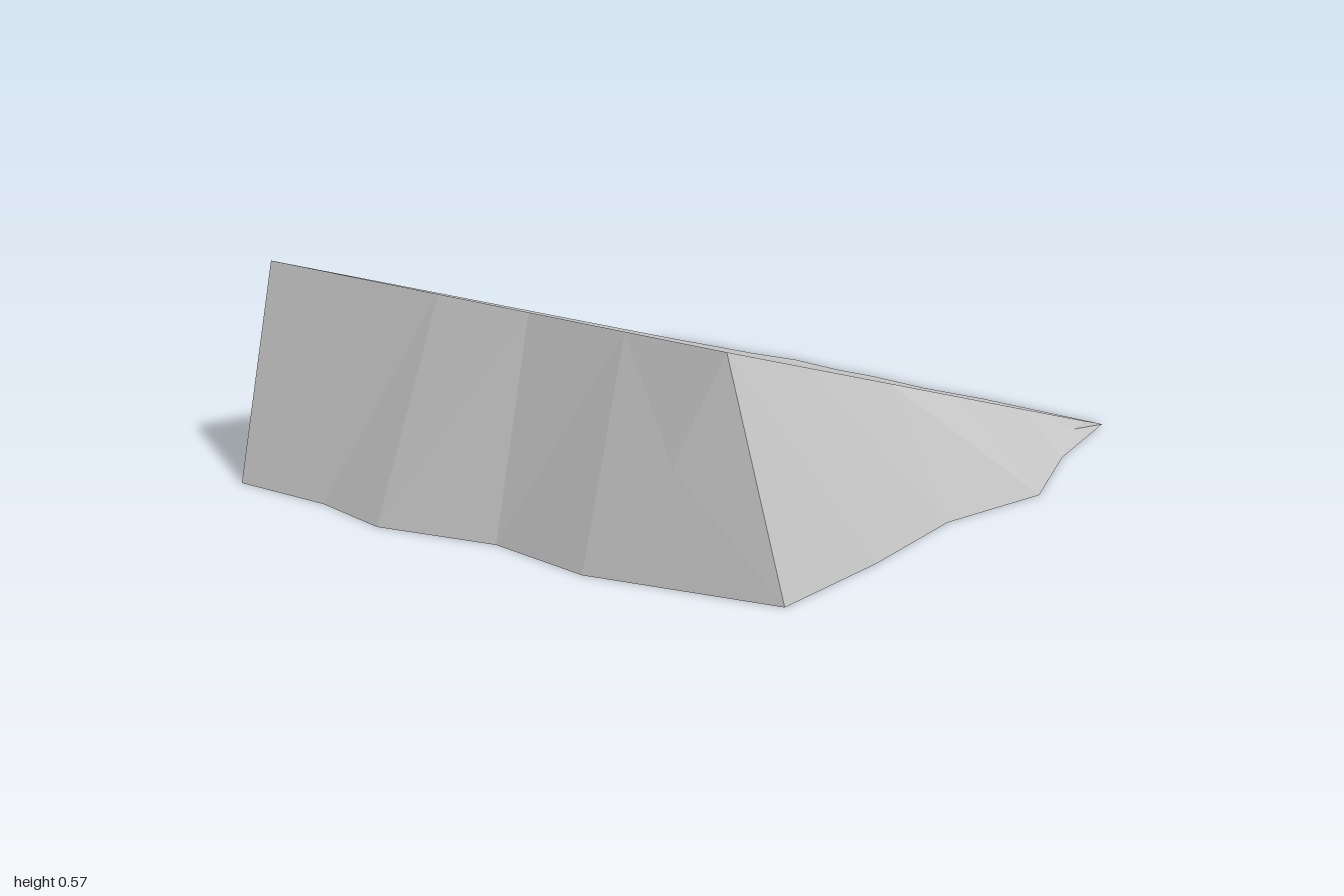
import * as THREE from 'three';

const stone = new THREE.MeshStandardMaterial({ color: 0xc6c6c6, flatShading: true, side: THREE.DoubleSide });
stone.name = 'pale grey stone';

const HALF = 0.765, FRONT = 0.78, BACK = -0.945, RISE = 0.575, LIP = 0.004;
const slopeY = (z) => LIP + (RISE - LIP) * (z - BACK) / (FRONT - BACK);
const topPoint = (x, z) => [x, slopeY(z), z];

function facetMesh(name, triangles) {
  const geometry = new THREE.BufferGeometry();
  geometry.setAttribute('position', new THREE.Float32BufferAttribute(triangles.flat(2), 3));
  geometry.computeVertexNormals();
  const mesh = new THREE.Mesh(geometry, stone);
  mesh.name = name;
  return mesh;
}

// Craggy wall from the ramp's rim to a ragged foot, listed left to right as seen from outside.
// Each panel folds around a middle point, by default halfway along its diagonal.
function craggyWall(name, rim, foot, middles = {}, mirrored = false) {
  const triangles = [];
  for (let i = 0; i < rim.length - 1; i++) {
    const [ta, tb] = [rim[i], rim[i + 1]];
    const [ba, bb] = [foot[i], foot[i + 1]].map(([x, z]) => [x, 0, z]);
    const [p, q] = mirrored ? [bb, ta] : [ba, tb];
    const mid = middles[i] || p.map((v, k) => (v + q[k]) / 2);
    triangles.push([ba, bb, mid], [bb, tb, mid], [tb, ta, mid], [ta, ba, mid]);
  }
  return facetMesh(name, triangles);
}

export function createModel() {
  const group = new THREE.Group();
  group.name = 'rockRamp';

  const steps = (n, fn) => Array.from({ length: n + 1 }, (_, i) => fn(i / n));
  const across = (n, z) => steps(n, (t) => topPoint(-HALF + 2 * HALF * t, z));
  const along = (x) => steps(5, (t) => topPoint(x, BACK + (FRONT - BACK) * t));

  // Flat sloping surface
  const [fl, fr] = across(1, FRONT), [bl, br] = across(1, BACK);
  group.add(facetMesh('rampSurface', [[fl, fr, br], [fl, br, bl]]));

  // Tall front wall
  group.add(craggyWall('frontWall', across(5, FRONT),
    [[-0.73, 0.95], [-0.43, 0.94], [-0.19, 0.985], [0.14, 0.9], [0.45, 0.935], [0.96, 0.81]],
    { 4: [0.66, 0.29, 0.85] }));

  // Wall on the -x side, running back to front
  group.add(craggyWall('rightWall', along(-HALF),
    [[-0.79, -0.94], [-0.905, -0.6], [-1, -0.25], [-0.87, 0.09], [-0.96, 0.43], [-0.73, 0.95]],
    { 0: [-0.84, 0.03, -0.775], 3: [-0.86, 0.21, 0.25], 4: [-0.81, 0.33, 0.66] }));

  // Wall on the +x side, running front to back
  group.add(craggyWall('leftWall', along(HALF).reverse(),
    [[0.96, 0.81], [0.96, 0.43], [0.93, 0.06], [1, -0.28], [0.88, -0.61], [0.81, -0.96]],
    { 4: [0.82, 0.03, -0.78] }, true));

  // Thin ragged lip along the back
  group.add(craggyWall('backLip', across(8, BACK).reverse(),
    [[0.81, -0.96], [0.4, -0.975], [0.2, -0.965], [0, -0.98], [-0.13, -0.975],
      [-0.3, -0.99], [-0.46, -0.97], [-0.61, -0.965], [-0.79, -0.94]]));

  return group;
}
